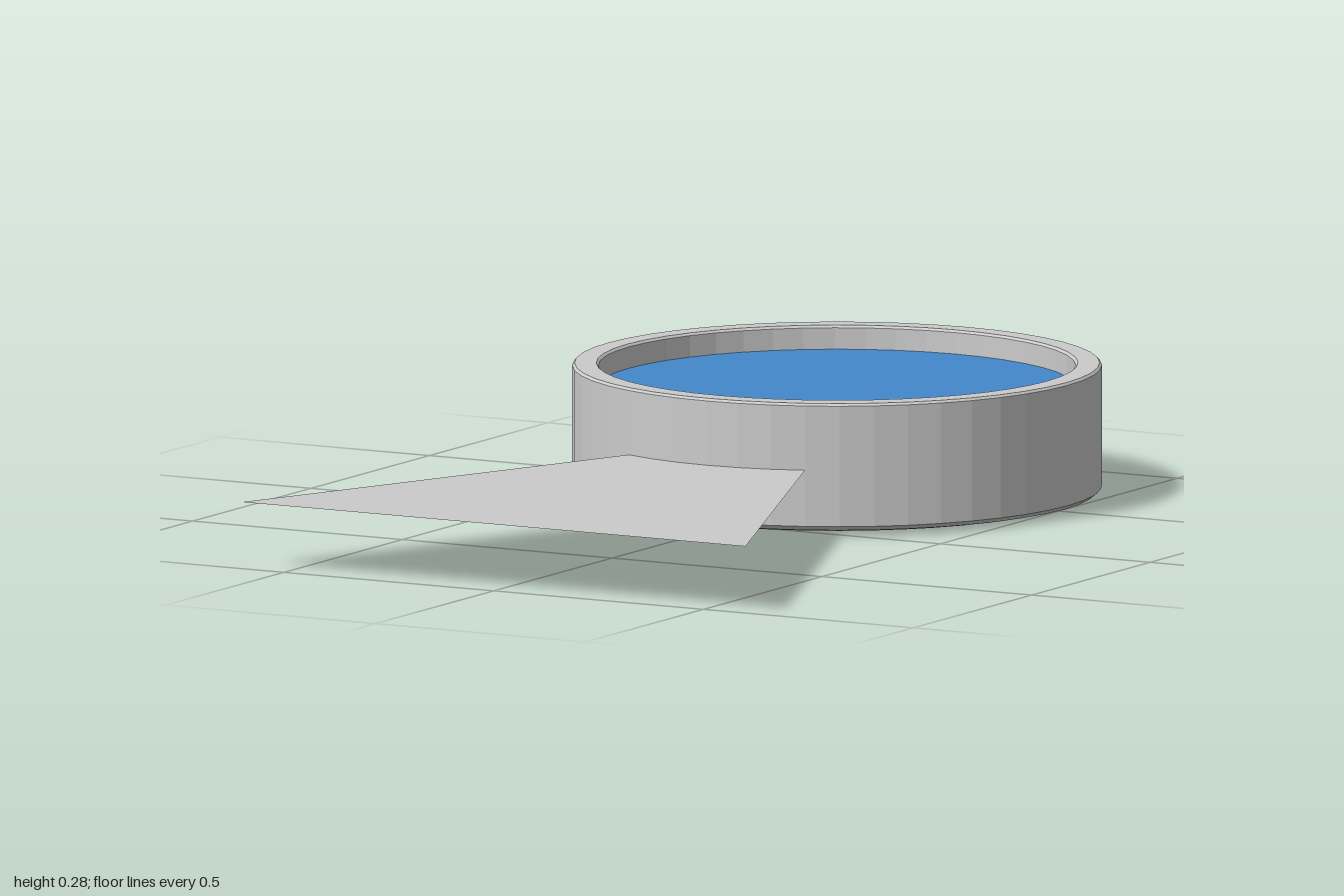
import * as THREE from 'three';

const SEGMENTS = 48;
const CENTER_Z = -0.45;

export function createModel() {
  const model = new THREE.Group();
  const grey = new THREE.MeshStandardMaterial({ color: 0xcccccc, flatShading: true });
  const sheet = new THREE.MeshStandardMaterial({ color: 0xcccccc, side: THREE.DoubleSide });
  const blue = new THREE.MeshStandardMaterial({ color: 0x4488cc });

  const add = (name, geometry, material, y, z) => {
    const mesh = new THREE.Mesh(geometry, material);
    mesh.name = name;
    mesh.position.set(0, y, z);
    model.add(mesh);
  };

  // Round housing: rounded underside, straight wall, bevelled rim and recess
  const profile = [
    [0, 0], [0.41, 0.002], [0.51, 0.007], [0.54, 0.013], [0.55, 0.022],
    [0.55, 0.275], [0.545, 0.28], [0.5, 0.28], [0.495, 0.275], [0.495, 0.2], [0, 0.2],
  ].map(([r, y]) => new THREE.Vector2(r, y));
  add('housing', new THREE.LatheGeometry(profile, SEGMENTS), grey, 0, CENTER_Z);

  // Blue disc sunk below the rim
  add('faceDisc', new THREE.CylinderGeometry(0.495, 0.495, 0.03, SEGMENTS), blue, 0.215, CENTER_Z);

  // Flat wedge fanning forward from the middle of the housing
  const wedge = new THREE.Shape([
    new THREE.Vector2(0, 0),
    new THREE.Vector2(-0.6, -1.45),
    new THREE.Vector2(0.6, -1.45),
  ]);
  add('fanWedge', new THREE.ShapeGeometry(wedge).rotateX(-Math.PI / 2), sheet, 0.14, CENTER_Z);

  return model;
}
